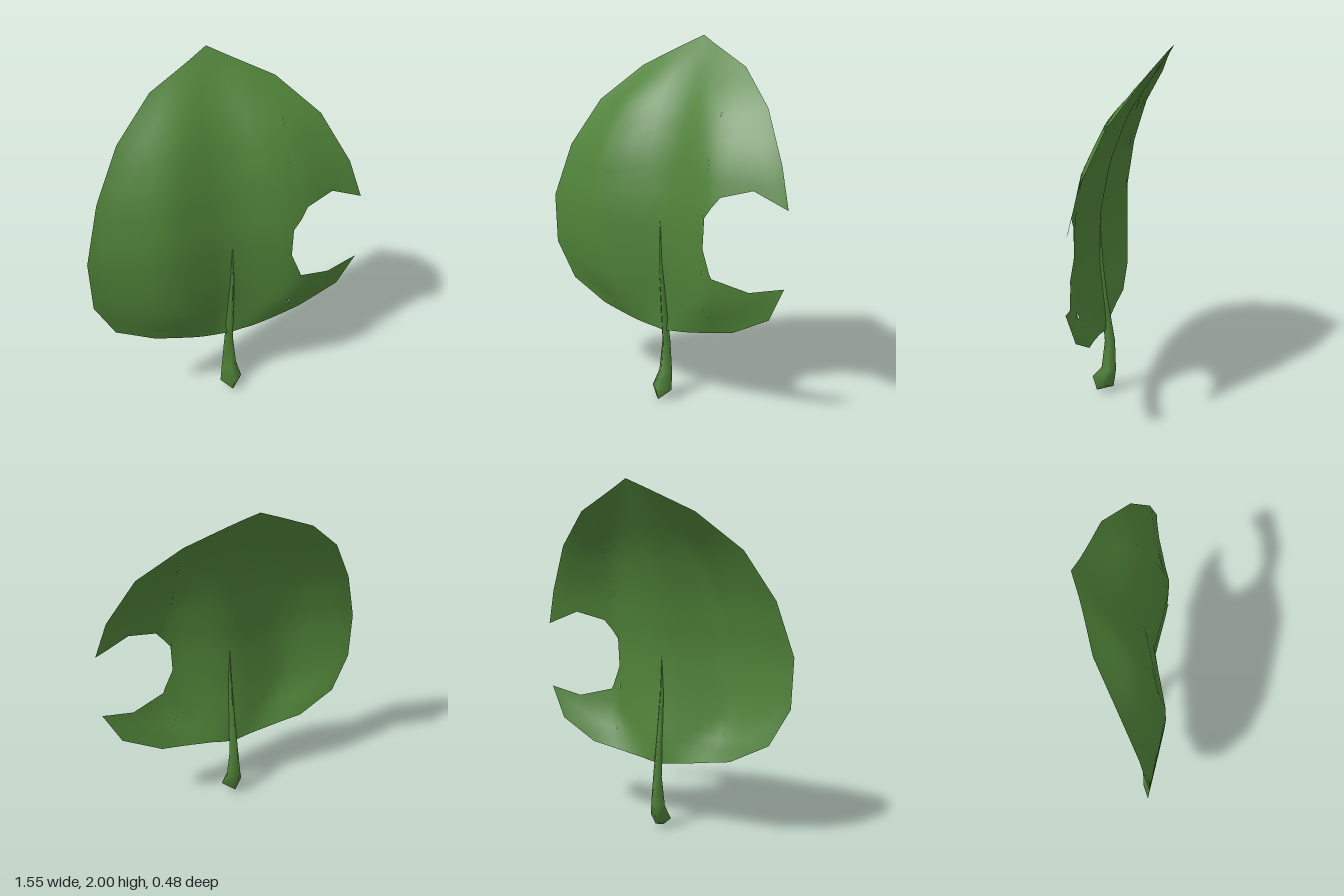
import * as THREE from 'three';

// Piecewise linear lookup in a sorted list of [key, value]
function lerpTable(table, t) {
  if (t <= table[0][0]) return table[0][1];
  for (let i = 1; i < table.length; i++) {
    const [a, va] = table[i - 1], [b, vb] = table[i];
    if (t <= b) return va + ((vb - va) * (t - a)) / (b - a);
  }
  return table[table.length - 1][1];
}

// Blade relief: depth of the midrib, how far each half bulges, and half width, by height
const SPINE = [[0.395, 0.13], [0.47, 0.12], [0.59, 0.135], [0.8, 0.16], [1.08, 0.16], [1.38, 0.1], [1.64, 0], [1.83, -0.125], [2, -0.24]];
const BULGE = [[0.395, 0], [0.47, 0.045], [0.59, 0.08], [1.38, 0.077], [1.64, 0.06], [1.83, 0.025], [2, 0]];
const WIDTH = [[0.395, 0.2], [0.47, 0.45], [0.59, 0.67], [0.8, 0.77], [1.08, 0.78], [1.38, 0.7], [1.64, 0.555], [1.83, 0.34], [2, 0.1]];

function bladeZ(x, y) {
  const u = Math.min(1, Math.abs(x - 0.005) / lerpTable(WIDTH, y));
  const tent = u < 0.49 ? u / 0.49 : (1 - u) / 0.51;
  return lerpTable(SPINE, y) + lerpTable(BULGE, y) * tent;
}

// Outline as upper and lower edges, [x, y]
const TOP = [[-0.78, 1.08], [-0.695, 1.38], [-0.55, 1.64], [-0.335, 1.835], [0.005, 2], [0.35, 1.835], [0.565, 1.64], [0.71, 1.375], [0.775, 1.165]];
const BOTTOM = [[-0.78, 1.08], [-0.77, 0.8], [-0.66, 0.59], [-0.44, 0.472], [-0.2, 0.425], [0.005, 0.395], [0.2, 0.425], [0.45, 0.472], [0.675, 0.59], [0.77, 0.775]];
// Bite in the left side
const BITE_TOP = [[0.33, 0.925], [0.335, 1.085], [0.42, 1.2], [0.585, 1.245], [0.775, 1.165]];
const BITE_BOTTOM = [[0.33, 0.925], [0.39, 0.78], [0.585, 0.73], [0.77, 0.775]];

// Sheet between two edges, from x0 to x1, draped over the blade relief
function sheet(low, high, x0, x1, rows) {
  const xs = [x0, x1, ...low.map(p => p[0]), ...high.map(p => p[0])];
  for (let x = -0.76; x < 0.78; x += 0.06) xs.push(x);
  const columns = [...new Set(xs)].filter(x => x >= x0 && x <= x1).sort((a, b) => a - b);
  const positions = [], normals = [], index = [];
  const h = 0.11;
  const n = new THREE.Vector3();
  columns.forEach((x, i) => {
    const y0 = lerpTable(low, x), y1 = lerpTable(high, x);
    for (let j = 0; j <= rows; j++) {
      const y = y0 + ((y1 - y0) * j) / rows;
      positions.push(x, y, bladeZ(x, y));
      // soft normal from the slope of the relief
      const ya = Math.max(0.395, y - h), yb = Math.min(2, y + h);
      n.set(-(bladeZ(x + h, y) - bladeZ(x - h, y)) / (2 * h), -(bladeZ(x, yb) - bladeZ(x, ya)) / (yb - ya), 1).normalize();
      normals.push(n.x, n.y, n.z);
      if (i > 0 && j > 0) {
        const c = i * (rows + 1) + j, d = c - rows - 1;
        index.push(d - 1, c - 1, c, d - 1, c, d);
      }
    }
  });
  const g = new THREE.BufferGeometry();
  g.setAttribute('position', new THREE.Float32BufferAttribute(positions, 3));
  g.setAttribute('normal', new THREE.Float32BufferAttribute(normals, 3));
  g.setIndex(index);
  return g;
}

// Diamond-section stalk: front y, front z, back y, back z, half width
function stalkGeometry() {
  const sections = [
    [0.005, 0.19, 0.005, 0.19, 0],
    [0.09, 0.215, 0.04, 0.09, 0.066],
    [0.155, 0.16, 0.145, 0.075, 0.045],
    [0.32, 0.14, 0.33, 0.08, 0.028],
    [0.59, 0.158, 0.59, 0.122, 0.018],
    [0.8, 0.175, 0.8, 0.146, 0.011],
    [1.02, 0.162, 1.02, 0.158, 0],
  ];
  const positions = [], index = [], cx = 0.007;
  sections.forEach(([fy, fz, by, bz, w], i) => {
    const my = (fy + by) / 2, mz = (fz + bz) / 2;
    positions.push(cx, fy, fz, cx + w, my, mz, cx, by, bz, cx - w, my, mz);
    if (i === 0) return;
    for (let k = 0; k < 4; k++) {
      const a = (i - 1) * 4 + k, b = (i - 1) * 4 + ((k + 1) % 4);
      index.push(a, b, b + 4, a, b + 4, a + 4);
    }
  });
  const g = new THREE.BufferGeometry();
  g.setAttribute('position', new THREE.Float32BufferAttribute(positions, 3));
  g.setIndex(index);
  g.computeVertexNormals();
  return g;
}

export function createModel() {
  const group = new THREE.Group();
  group.name = 'leaf';
  const green = new THREE.MeshStandardMaterial({ color: 0x4f8238, side: THREE.DoubleSide });
  green.name = 'leaf green';

  const add = (name, geometry) => {
    const mesh = new THREE.Mesh(geometry, green);
    mesh.name = name;
    group.add(mesh);
  };

  // Blade: main body plus the lobes above and below the bite
  add('bladeBody', sheet(BOTTOM, TOP, -0.78, 0.33, 24));
  add('bladeUpperLobe', sheet(BITE_TOP, TOP, 0.33, 0.775, 14));
  add('bladeLowerLobe', sheet(BOTTOM, BITE_BOTTOM, 0.33, 0.77, 10));

  // Stalk
  add('stalk', stalkGeometry());
  return group;
}
